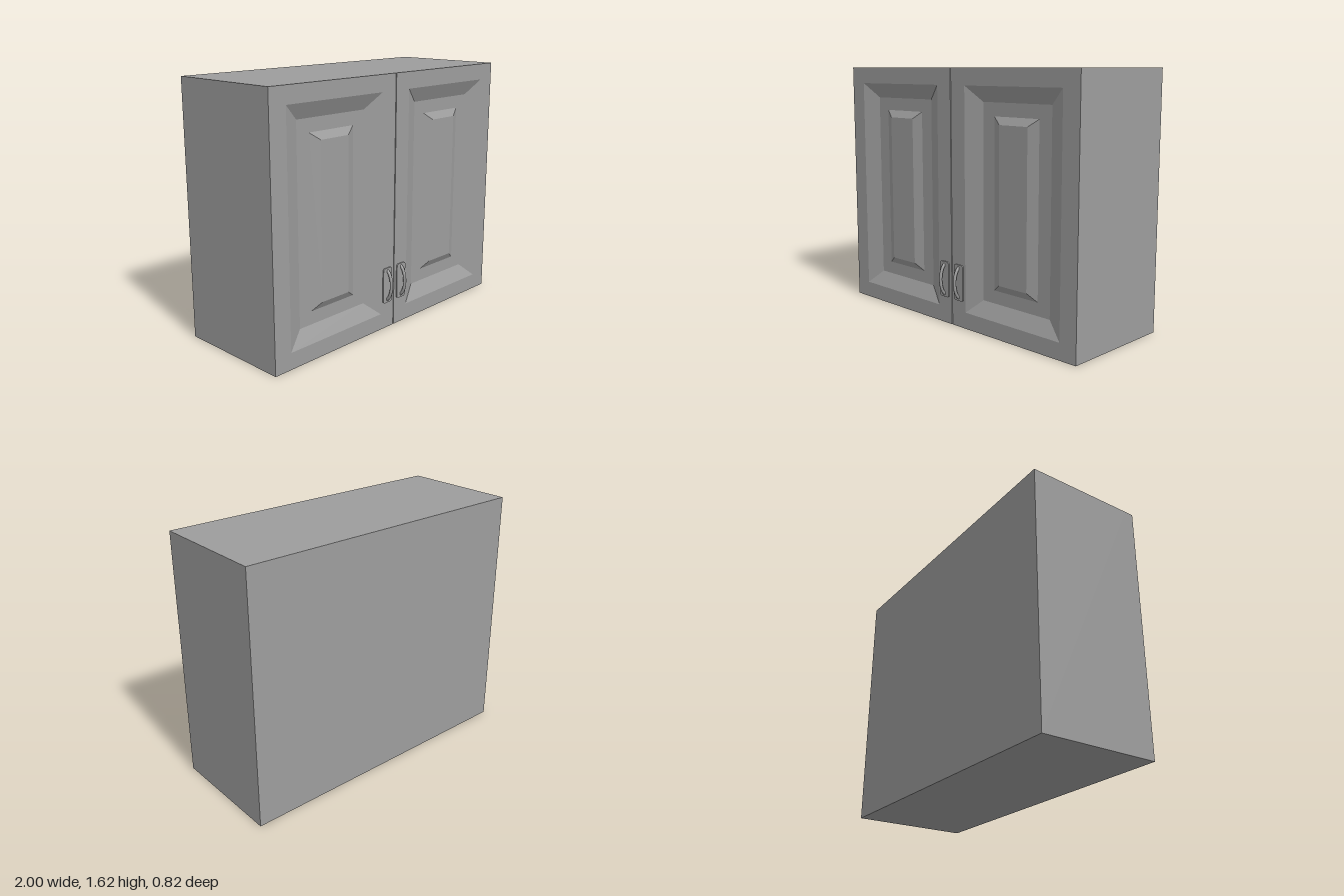
import * as THREE from 'three';

const GREY = 0x9d9d9d;
const material = new THREE.MeshStandardMaterial({ color: GREY });
const flat = new THREE.MeshStandardMaterial({ color: GREY, flatShading: true });

const HEIGHT = 1.62, BACK = -0.41, FRONT = 0.361, DOOR = 0.06, GAP = 0.006;

function add(parent, name, geometry, mat = flat) {
  const mesh = new THREE.Mesh(geometry, mat);
  mesh.name = name;
  parent.add(mesh);
  return mesh;
}

// Upright full-height box between two depths
function addBlock(parent, name, width, back, front) {
  add(parent, name, new THREE.BoxGeometry(width, HEIGHT, front - back))
    .position.set(0, HEIGHT / 2, (back + front) / 2);
}

// Skins a series of centred rectangles [halfWidth, halfHeight, z], back to front, and caps both ends
function rectangleLoft(loops) {
  const positions = [], index = [];
  for (const [w, h, z] of loops) positions.push(-w, -h, z, w, -h, z, w, h, z, -w, h, z);
  for (let l = 0; l < loops.length - 1; l++) {
    for (let i = 0; i < 4; i++) {
      const a = l * 4 + i, b = l * 4 + (i + 1) % 4;
      index.push(a, b, b + 4, a, b + 4, a + 4);
    }
  }
  const e = (loops.length - 1) * 4;
  index.push(0, 2, 1, 0, 3, 2, e, e + 1, e + 2, e, e + 2, e + 3);
  const geometry = new THREE.BufferGeometry();
  geometry.setAttribute('position', new THREE.Float32BufferAttribute(positions, 3));
  geometry.setIndex(index);
  const faceted = geometry.toNonIndexed();
  faceted.computeVertexNormals();
  return faceted;
}

function roundedRectangle(w, h, r) {
  const s = new THREE.Shape();
  s.absarc(w / 2 - r, h / 2 - r, r, 0, Math.PI / 2);
  s.absarc(-w / 2 + r, h / 2 - r, r, Math.PI / 2, Math.PI);
  s.absarc(-w / 2 + r, -h / 2 + r, r, Math.PI, Math.PI * 1.5);
  s.absarc(w / 2 - r, -h / 2 + r, r, Math.PI * 1.5, Math.PI * 2);
  s.closePath();
  return s;
}

// Arched pull on a thin rounded backplate
function createHandle() {
  const handle = new THREE.Group();
  add(handle, 'handleBackplate', new THREE.ExtrudeGeometry(roundedRectangle(0.08, 0.232, 0.016), {
    depth: 0.008, bevelEnabled: false, curveSegments: 5,
  }));
  const path = new THREE.CatmullRomCurve3([
    [-0.1, 0], [-0.082, 0.018], [-0.045, 0.034], [0, 0.039],
    [0.045, 0.034], [0.082, 0.018], [0.1, 0],
  ].map(([y, z]) => new THREE.Vector3(0, y, z)));
  add(handle, 'handlePull', new THREE.TubeGeometry(path, 32, 0.01, 12), material);
  return handle;
}

export function createModel() {
  const cabinet = new THREE.Group();
  cabinet.name = 'wallCabinet';

  // Carcass behind the doors, and a strip that leaves only a shallow seam between them
  addBlock(cabinet, 'carcass', 2, BACK, FRONT - DOOR);
  addBlock(cabinet, 'centreStrip', GAP, FRONT - DOOR, FRONT - 0.006);

  // Door: frame, sloped recess, flat channel and slightly raised centre field
  const width = 1 - GAP / 2;
  const doorGeometry = rectangleLoft([
    [width / 2, HEIGHT / 2, -DOOR],
    [width / 2, HEIGHT / 2, 0],
    [0.38, 0.705, 0],
    [0.267, 0.61, -0.048],
    [0.175, 0.528, -0.048],
    [0.11, 0.482, -0.021],
  ]);

  for (const [side, name] of [[1, 'left'], [-1, 'right']]) {
    add(cabinet, name + 'Door', doorGeometry).position.set(side * (1 - width / 2), HEIGHT / 2, FRONT);
    const handle = createHandle();
    handle.name = name + 'Handle';
    handle.position.set(side * 0.065, 0.288, FRONT);
    cabinet.add(handle);
  }
  return cabinet;
}
